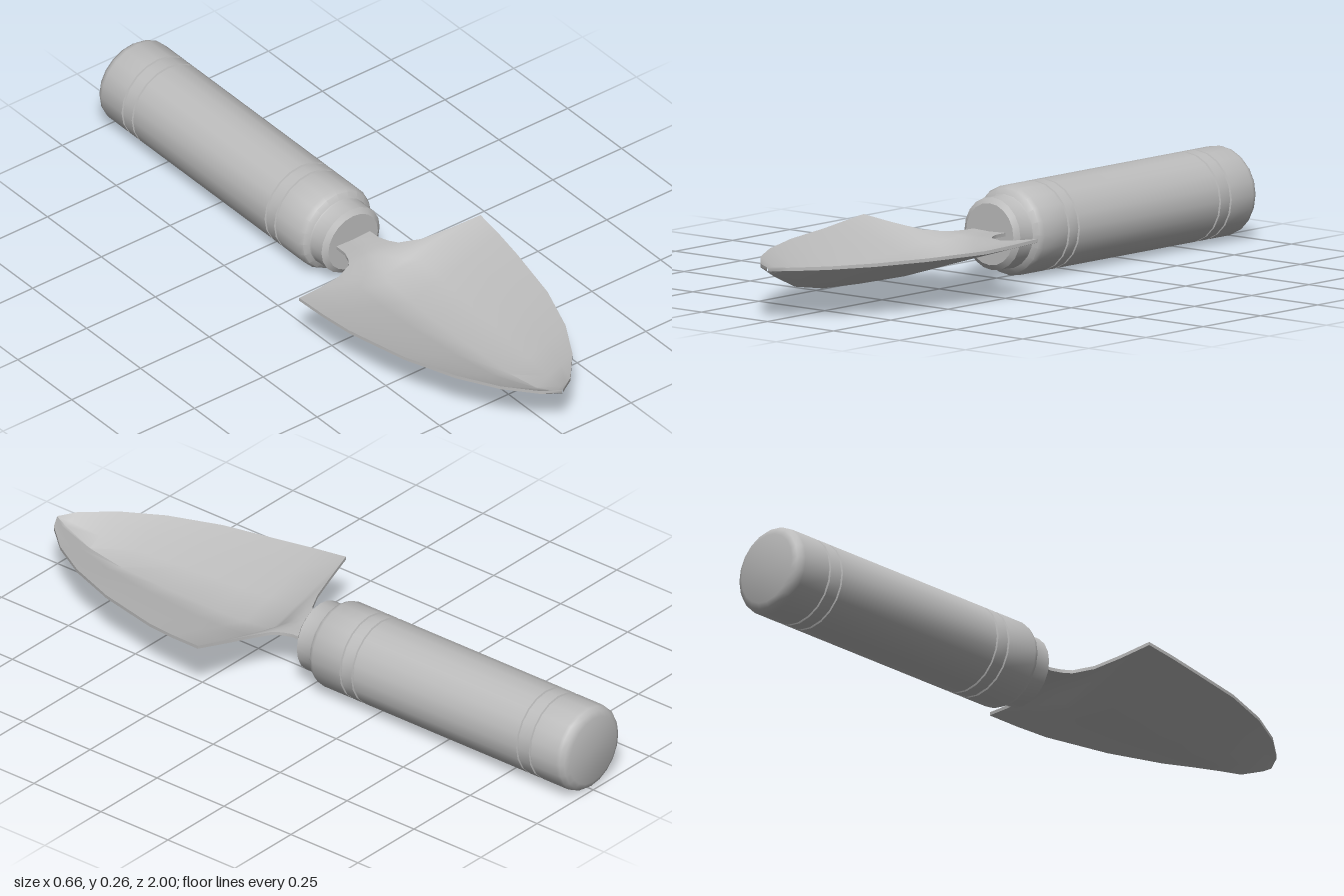
import * as THREE from 'three';
import { toCreasedNormals } from 'three/addons/utils/BufferGeometryUtils.js';

const metal = new THREE.MeshStandardMaterial({ color: 0xbcbcbc });
metal.name = 'plain grey';

const AXIS_Y = 0.133; // height of the handle axis

// Turned handle with two pairs of grooves and a stepped collar, lying along z
function makeHandle() {
  const R = 0.131;
  const profile = [[0, -1], [0.104, -1], [0.12, -0.993], [0.129, -0.981], [R, -0.97]];
  for (const z of [-0.873, -0.826, -0.21, -0.166]) {
    profile.push([R, z - 0.004], [R - 0.005, z - 0.002], [R - 0.005, z + 0.002], [R, z + 0.004]);
  }
  profile.push([R, -0.06], [0.124, -0.045], [0.108, -0.035], [0.106, -0.03],
    [0.106, 0.018], [0.09, 0.03], [0, 0.03]);
  const points = profile.map(([r, z]) => new THREE.Vector2(r, z));
  const geometry = new THREE.LatheGeometry(points, 20);
  geometry.rotateX(Math.PI / 2);
  const mesh = new THREE.Mesh(toCreasedNormals(geometry, 0.6), metal);
  mesh.name = 'handle';
  mesh.position.y = AXIS_Y;
  return mesh;
}

// Dished blade and its neck: closed V-shaped sections swept from handle to tip
function makeBlade() {
  const thickness = 0.01;
  // z, half width, underside height at the centre, underside height at the edge
  const sections = [
    [0.0, 0.06, 0.131, 0.133],
    [0.07, 0.062, 0.131, 0.134],
    [0.1, 0.073, 0.13, 0.134],
    [0.125, 0.09, 0.126, 0.134],
    [0.155, 0.15, 0.108, 0.137],
    [0.178, 0.235, 0.09, 0.15],
    [0.2, 0.33, 0.074, 0.167],
    [0.3, 0.32, 0.063, 0.16],
    [0.4, 0.305, 0.058, 0.154],
    [0.6, 0.26, 0.061, 0.153],
    [0.76, 0.2, 0.068, 0.152],
    [0.88, 0.131, 0.088, 0.151],
    [0.97, 0.053, 0.128, 0.15],
    [1.0, 0.002, 0.146, 0.149],
  ];
  const steps = 6;
  const ring = 2 * (steps + 1);
  const positions = [];
  const index = [];
  for (const [z, half, centre, edge] of sections) {
    for (let k = 0; k < ring; k++) {
      const top = k > steps;
      const t = ((top ? ring - 1 - k : k) / steps) * 2 - 1;
      const y = centre + (edge - centre) * Math.abs(t);
      positions.push(half * t, y + (top ? thickness : 0), z);
    }
  }
  for (let i = 0; i < sections.length - 1; i++) {
    for (let k = 0; k < ring; k++) {
      const a = i * ring + k;
      const b = i * ring + ((k + 1) % ring);
      index.push(a, b, a + ring, b, b + ring, a + ring);
    }
  }
  const geometry = new THREE.BufferGeometry();
  geometry.setAttribute('position', new THREE.Float32BufferAttribute(positions, 3));
  geometry.setIndex(index);
  const mesh = new THREE.Mesh(toCreasedNormals(geometry, 0.8), metal);
  mesh.name = 'bladeAndNeck';
  return mesh;
}

export function createModel() {
  const trowel = new THREE.Group();
  trowel.name = 'trowel';
  trowel.add(makeHandle(), makeBlade());
  return trowel;
}
